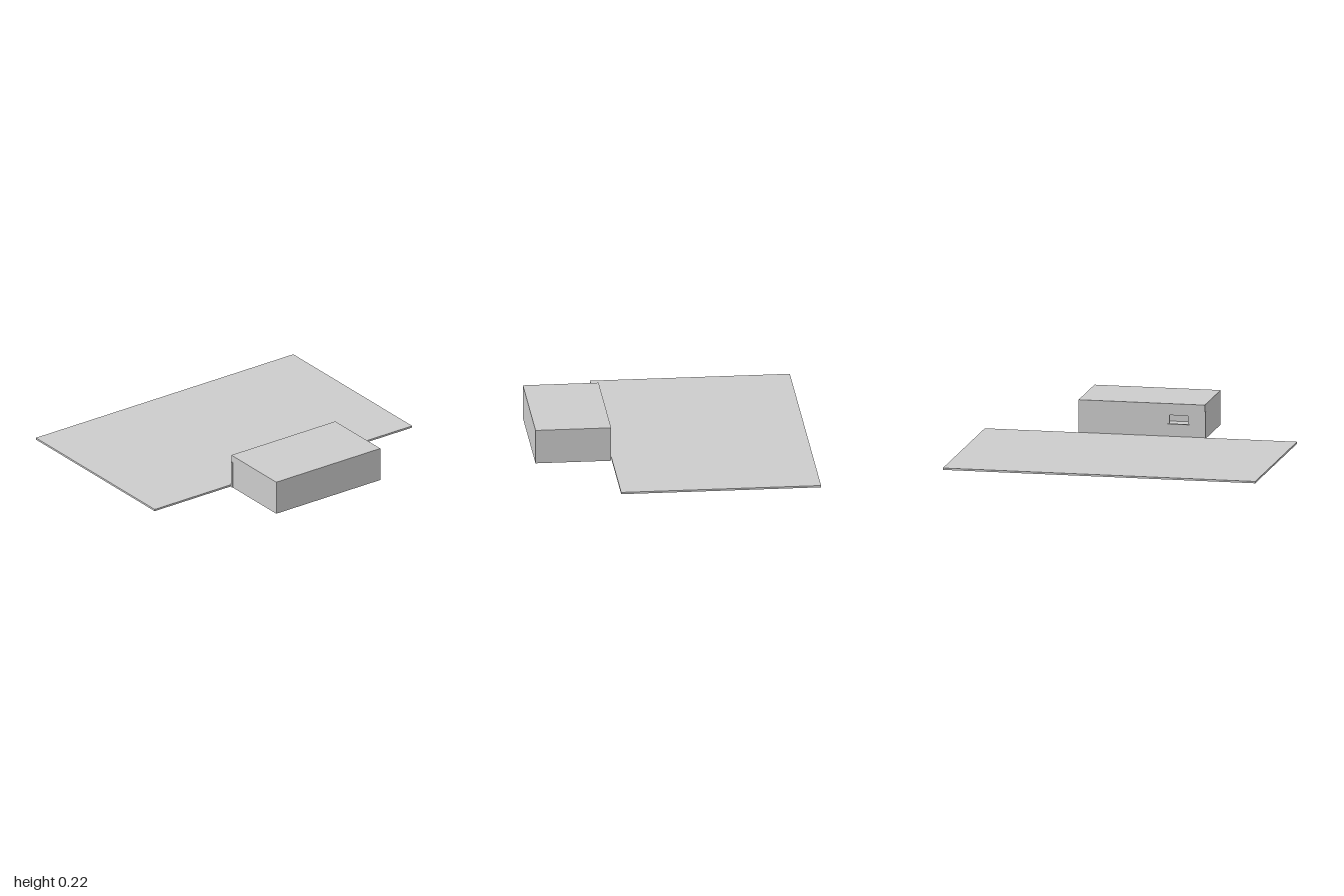
import * as THREE from 'three';

const mat = new THREE.MeshStandardMaterial({ color: 0xcccccc, flatShading: true });

// Box given by its minimum and maximum corners
function box(parent, name, [x0, y0, z0], [x1, y1, z1]) {
  const mesh = new THREE.Mesh(new THREE.BoxGeometry(x1 - x0, y1 - y0, z1 - z0), mat);
  mesh.position.set((x0 + x1) / 2, (y0 + y1) / 2, (z0 + z1) / 2);
  mesh.name = name;
  parent.add(mesh);
}

// Rectangle as a shape or hole outline
function rect(Type, x0, y0, x1, y1) {
  return new Type([[x0, y0], [x1, y0], [x1, y1], [x0, y1]].map(p => new THREE.Vector2(...p)));
}

// Upright panel with one rectangular opening
function panel(parent, name, outer, hole, z, depth) {
  const shape = rect(THREE.Shape, ...outer);
  shape.holes.push(rect(THREE.Path, ...hole));
  const mesh = new THREE.Mesh(new THREE.ExtrudeGeometry(shape, { depth, bevelEnabled: false }), mat);
  mesh.position.z = z;
  mesh.name = name;
  parent.add(mesh);
}

export function createModel() {
  const model = new THREE.Group();
  model.name = 'buildingWithYard';

  // Wide paved yard
  box(model, 'yardSlab', [-1, 0, -0.87], [1, 0.012, 0.388]);

  const building = new THREE.Group();
  building.name = 'building';
  model.add(building);
  const L = -0.408, R = 0.4, B = 0.392, F = 0.868, wall = 0.015, eaves = 0.167, top = 0.22;

  // Hollow shell: floor, walls and thick flat roof
  box(building, 'floor', [L + wall, 0, B + wall], [R - wall, 0.012, F - wall]);
  box(building, 'frontWall', [L, 0, F - wall], [R, eaves, F]);
  box(building, 'rightWall', [L, 0, B + wall], [L + wall, eaves, F - wall]);
  box(building, 'leftWall', [R - wall, 0, B + wall], [R, eaves, F - wall]);
  box(building, 'roof', [L, eaves, B], [R, top, F]);

  // Back wall with the window opening
  panel(building, 'backWall', [L, 0, R, eaves], [-0.305, 0.085, -0.175, 0.152], B, wall);

  // Window frame and projecting sill
  panel(building, 'windowFrame', [-0.305, 0.085, -0.175, 0.152], [-0.299, 0.091, -0.181, 0.146], B + 0.003, 0.009);
  box(building, 'windowSill', [-0.31, 0.083, 0.385], [-0.17, 0.091, B + 0.004]);

  // Slim post at the rear corner
  box(building, 'cornerPost', [L - 0.004, 0, B], [L, 0.175, B + 0.016]);

  return model;
}
